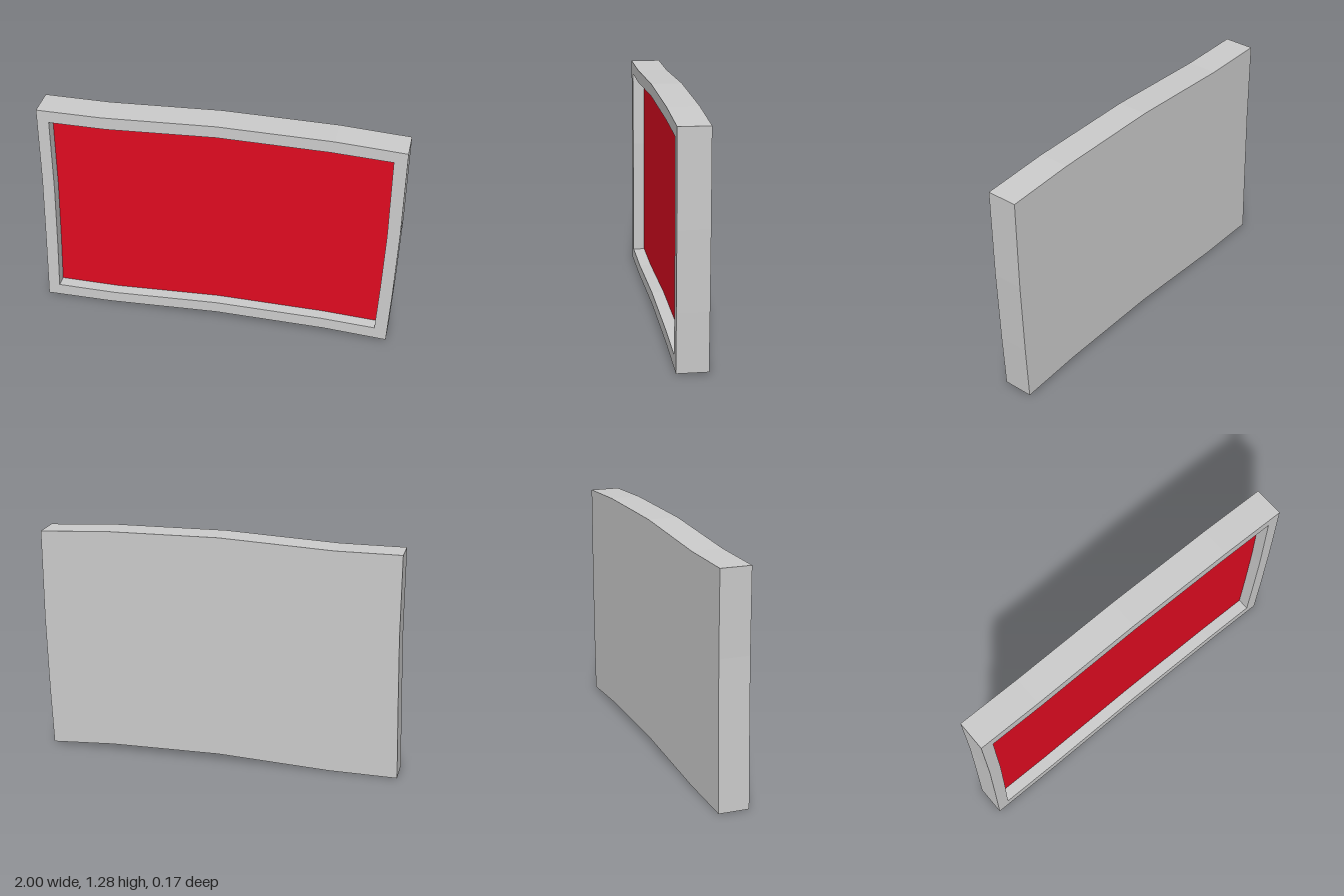
import * as THREE from 'three';

const HALF_DEPTH = 0.083;
const PANEL_Z = 0.017;

// Gently warped rectangles, counter-clockwise from the bottom left corner
const OUTER = [
  [-1, 0], [-0.63, 0.003], [0, 0.035], [0.62, 0.03], [0.972, 0.01],
  [0.985, 0.33], [0.996, 0.75], [0.998, 1.254],
  [0.62, 1.275], [0, 1.28], [-0.62, 1.25], [-0.978, 1.25],
  [-0.978, 0.8], [-0.988, 0.4],
];
const INNER = [
  [-0.932, 0.07], [-0.6, 0.07], [0, 0.102], [0.6, 0.098], [0.904, 0.084],
  [0.917, 0.38], [0.928, 0.72], [0.928, 1.193],
  [0.6, 1.208], [0, 1.213], [-0.6, 1.181], [-0.912, 1.181],
  [-0.912, 0.75], [-0.921, 0.38],
];

const toPoints = (list) => list.map(([x, y]) => new THREE.Vector2(x, y));

function addPart(group, name, geometry, color, z, side = THREE.FrontSide) {
  const material = new THREE.MeshStandardMaterial({ color, side });
  const mesh = new THREE.Mesh(geometry, material);
  mesh.name = name;
  mesh.position.z = z;
  group.add(mesh);
}

export function createModel() {
  const model = new THREE.Group();
  model.name = 'framedPanel';

  // Thick border with the opening cut through it
  const border = new THREE.Shape(toPoints(OUTER));
  border.holes.push(new THREE.Path(toPoints(INNER)));
  const frame = new THREE.ExtrudeGeometry(border, { depth: 2 * HALF_DEPTH, bevelEnabled: false });
  addPart(model, 'frame', frame, 0xcccccc, -HALF_DEPTH);

  // Recessed coloured panel and flush back plate fill the opening
  const opening = new THREE.Shape(toPoints(INNER));
  addPart(model, 'redPanel', new THREE.ShapeGeometry(opening), 0xe00b20, PANEL_Z);
  addPart(model, 'backPlate', new THREE.ShapeGeometry(opening), 0xcccccc, -HALF_DEPTH, THREE.DoubleSide);

  return model;
}
